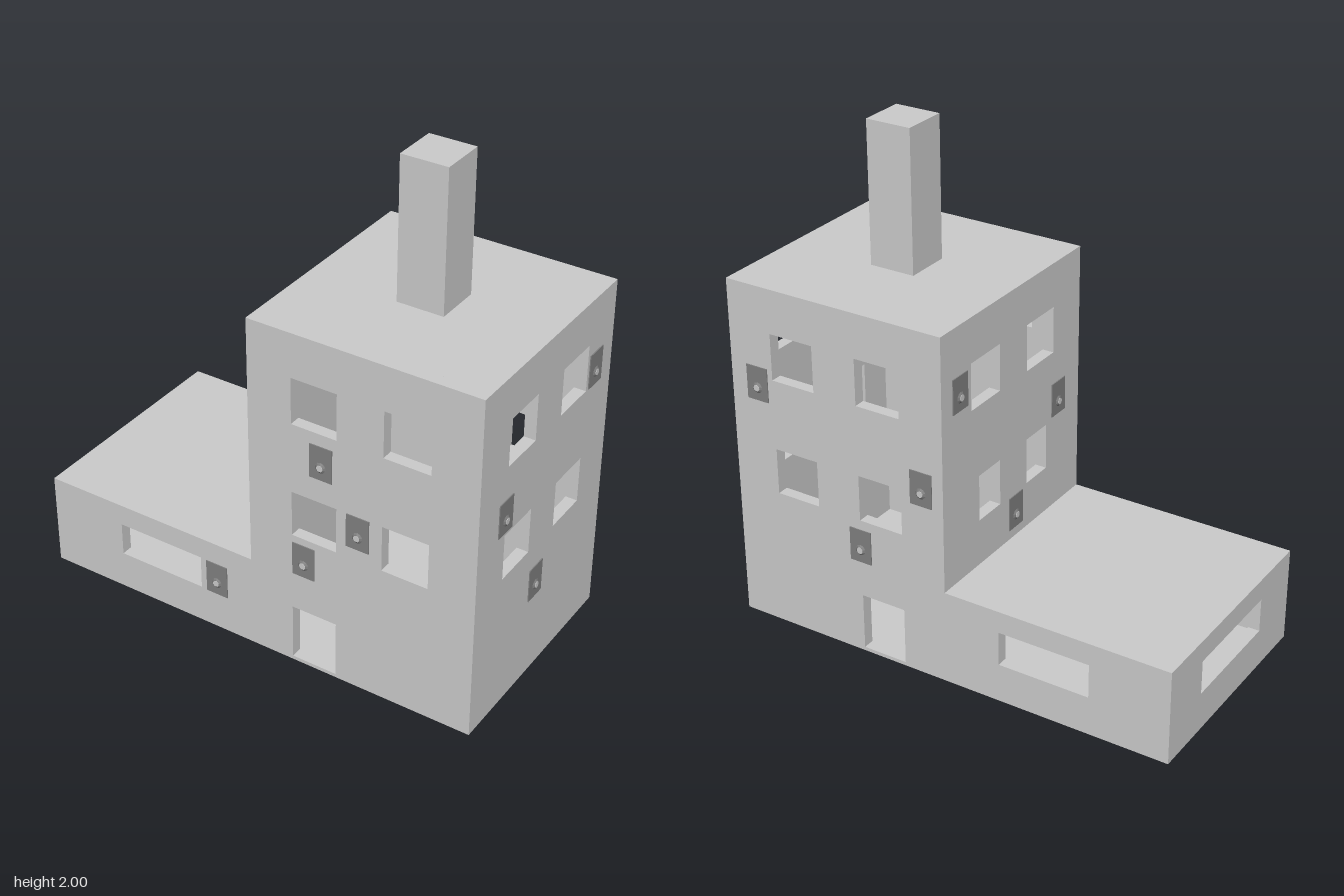
import * as THREE from 'three';

const T = 0.047;                       // wall thickness
const X0 = -0.95, XM = -0.005, X1 = 0.94; // annex end, tower left, tower right
const Z = 0.473, H = 1.43, HA = 0.39;  // half depth, tower height, annex height

const grey = new THREE.MeshStandardMaterial({ color: 0xcccccc, flatShading: true });
const dark = new THREE.MeshStandardMaterial({ color: 0x808080, flatShading: true });

// Flat wall of thickness T from an outline and rectangular openings [x0, x1, y0, y1]
function wallGeometry(outline, openings) {
  const shape = new THREE.Shape(outline.map(([x, y]) => new THREE.Vector2(x, y)));
  for (const [a, b, c, d] of openings) {
    shape.holes.push(new THREE.Path([[a, c], [a, d], [b, d], [b, c]].map(([x, y]) => new THREE.Vector2(x, y))));
  }
  return new THREE.ExtrudeGeometry(shape, { depth: T, bevelEnabled: false });
}

function add(parent, name, geometry, x = 0, y = 0, z = 0, material = grey) {
  const mesh = new THREE.Mesh(geometry, material);
  mesh.name = name;
  mesh.position.set(x, y, z);
  parent.add(mesh);
  return mesh;
}

// Box given by its limits
function slab(parent, name, x0, x1, y0, y1, z0, z1) {
  add(parent, name, new THREE.BoxGeometry(x1 - x0, y1 - y0, z1 - z0),
    (x0 + x1) / 2, (y0 + y1) / 2, (z0 + z1) / 2);
}

// Small wall lamp: plate, shallow cone and knob, facing +z
function wallLamp() {
  const lamp = new THREE.Group();
  lamp.name = 'wallLamp';
  add(lamp, 'lampPlate', new THREE.BoxGeometry(0.095, 0.14, 0.004), 0, 0, 0.002, dark);
  add(lamp, 'lampShade', new THREE.CylinderGeometry(0.014, 0.024, 0.006, 10).rotateX(Math.PI / 2), 0, -0.017, 0.006, dark);
  add(lamp, 'lampKnob', new THREE.CylinderGeometry(0.013, 0.013, 0.003, 10).rotateX(Math.PI / 2), 0, -0.017, 0.0095);
  return lamp;
}

export function createModel() {
  const model = new THREE.Group();
  model.name = 'towerHouse';

  // Front and back walls, shared by tower and annex
  const rows = [[0.58, 0.77], [1.06, 1.25]];
  const longOpenings = [[0.18, 0.37, 0.015, 0.25], [-0.62, -0.24, 0.16, 0.3]];
  for (const [y0, y1] of rows) longOpenings.push([0.18, 0.37, y0, y1], [0.56, 0.75, y0, y1]);
  const longOutline = [[X0, 0], [X1, 0], [X1, H], [XM, H], [XM, HA], [X0, HA]];
  const longWall = wallGeometry(longOutline, longOpenings);
  add(model, 'frontWall', longWall, 0, 0, Z - T);
  add(model, 'backWall', longWall, 0, 0, -Z);

  // Side walls between them
  const inner = Z - T;
  const sideWall = (name, xMax, height, openings) => add(model, name,
    wallGeometry([[-inner, 0], [inner, 0], [inner, height], [-inner, height]], openings).rotateY(-Math.PI / 2), xMax);
  const pair = (a, b, [y0, y1]) => [[a, b, y0, y1], [-b, -a, y0, y1]];
  sideWall('towerLeftWall', X1, H, rows.flatMap((r) => pair(0.093, 0.283, r)));
  sideWall('towerRightWall', XM + T, H, [...pair(0.093, 0.236, rows[0]), ...pair(0.093, 0.283, rows[1])]);
  sideWall('annexEndWall', X0 + T, HA, [[-0.236, 0.236, 0.16, 0.3]]);

  // Floor, roofs and chimney
  slab(model, 'floor', X0 + T, X1 - T, 0, 0.015, -inner, inner);
  slab(model, 'towerRoof', XM + T, X1 - T, H - T, H, -inner, inner);
  slab(model, 'annexRoof', X0 + T, XM, HA - T, HA, -inner, inner);
  slab(model, 'chimney', 0.37, 0.56, H - T, 2, -0.094, 0.094);

  // Wall lamps: position along the wall and height, for each face
  const faces = [
    { turn: 0, place: (u) => [u, Z], spots: [[-0.165, 0.23], [0.23, 0.48], [0.305, 0.94], [0.46, 0.7]] },
    { turn: Math.PI, place: (u) => [u, -Z], spots: [[0.09, 0.8], [0.37, 0.47], [0.82, 1.03]] },
    { turn: Math.PI / 2, place: (u) => [X1, u], spots: [[-0.345, 1.13], [0.285, 0.855], [0.025, 0.41]] },
    { turn: -Math.PI / 2, place: (u) => [XM, u], spots: [[-0.355, 1.165], [0.32, 0.855], [0.015, 0.5]] },
  ];
  for (const { turn, place, spots } of faces) {
    for (const [u, y] of spots) {
      const lamp = wallLamp();
      const [x, z] = place(u);
      lamp.position.set(x, y, z);
      lamp.rotation.y = turn;
      model.add(lamp);
    }
  }
  return model;
}
